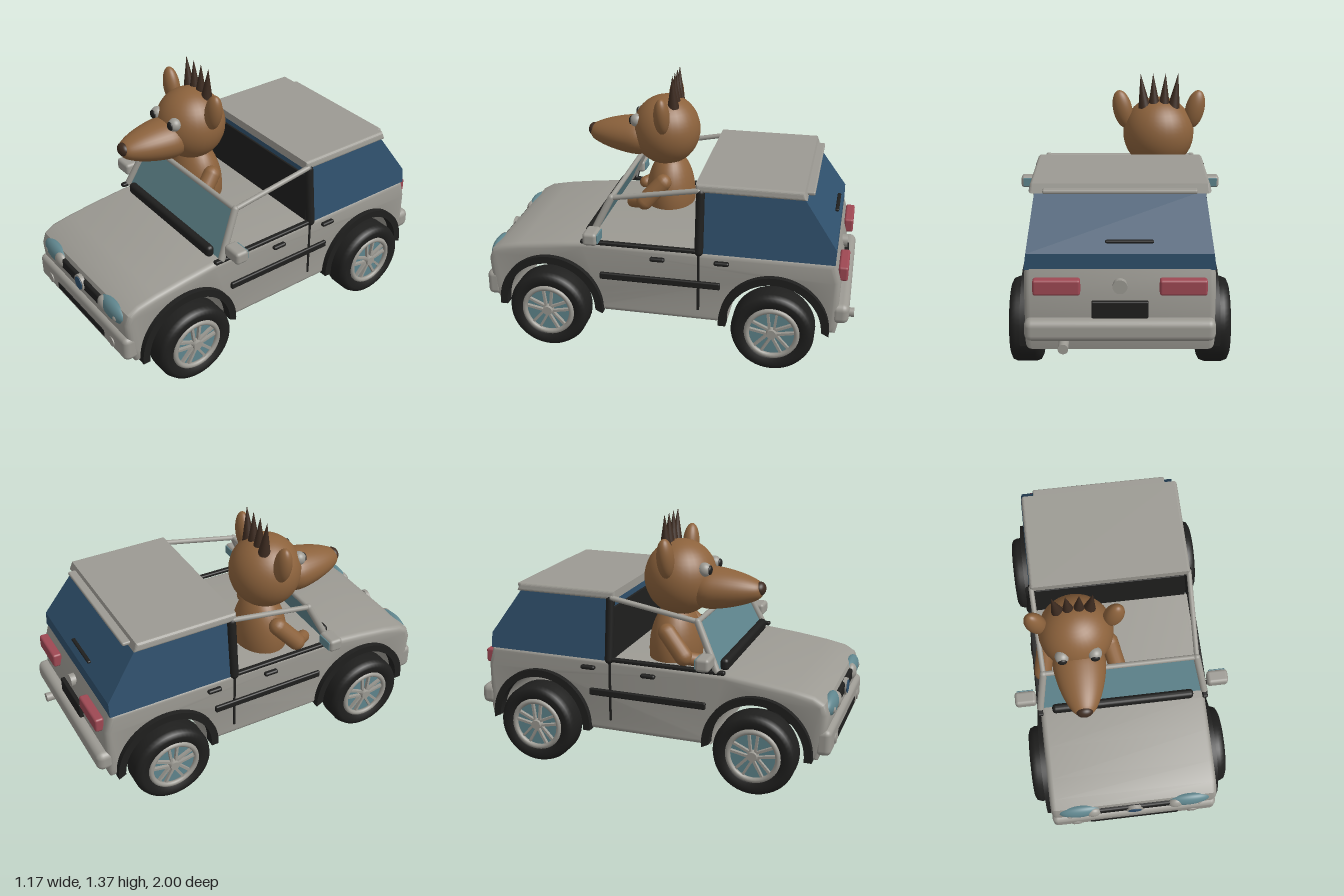
import * as THREE from 'three';
import { toCreasedNormals } from 'three/addons/utils/BufferGeometryUtils.js';
import { RoundedBoxGeometry } from 'three/addons/geometries/RoundedBoxGeometry.js';

const mat = (name, color, extra = {}) => {
  const m = new THREE.MeshStandardMaterial({ color, ...extra });
  m.name = name;
  return m;
};
const paint = mat('warm grey paint', 0x9c9a93);
const black = mat('black rubber', 0x1f1f1e);
const darkGlass = mat('dark blue glass', 0x2f506c);
const glass = mat('teal glass', 0x5f858d, { side: THREE.DoubleSide });
const fur = mat('brown fur', 0x8c623c);
const darkFur = mat('dark brown', 0x3d2b20);
const red = mat('red lens', 0x9e4853);

export function createModel() {
  const car = new THREE.Group();
  car.name = 'convertibleWithDriver';

  const add = (name, geo, material, x = 0, y = 0, z = 0, parent = car) => {
    const m = new THREE.Mesh(geo, material);
    m.name = name;
    m.position.set(x, y, z);
    parent.add(m);
    return m;
  };
  const box = (name, material, w, h, d, x, y, z, r = 0.01) =>
    add(name, new RoundedBoxGeometry(w, h, d, 3, r), material, x, y, z);
  const ball = (name, material, rx, ry, rz, x, y, z, parent) => {
    const m = add(name, new THREE.SphereGeometry(1, 32, 24), material, x, y, z, parent);
    m.scale.set(rx, ry, rz);
    return m;
  };
  // Round-ended rod between two points
  const rod = (name, material, a, b, r, parent) => {
    const p = new THREE.Vector3(...a), q = new THREE.Vector3(...b);
    const d = q.clone().sub(p), c = p.clone().add(q).multiplyScalar(0.5);
    const m = add(name, new THREE.CapsuleGeometry(r, d.length(), 6, 16), material, c.x, c.y, c.z, parent);
    m.quaternion.setFromUnitVectors(new THREE.Vector3(0, 1, 0), d.normalize());
    return m;
  };
  // Side profile (z, y) extruded across the car from x0 to x1
  const slab = (shape, x0, x1, bevel = 0) => {
    const g = new THREE.ExtrudeGeometry(shape, {
      depth: x1 - x0 - 2 * bevel, curveSegments: 32, bevelEnabled: bevel > 0,
      bevelSize: bevel, bevelThickness: bevel, bevelOffset: -bevel, bevelSegments: 4,
    });
    g.rotateY(-Math.PI / 2).translate(x1 - bevel, 0, 0);
    return toCreasedNormals(g, 0.6);
  };
  const disc = (name, material, r, depth, x, y, z) =>
    add(name, new THREE.CylinderGeometry(r, r, depth, 32).rotateX(Math.PI / 2), material, x, y, z);

  // Body shell with wheel tunnels
  const axles = [-0.59, 0.62];
  const body = new THREE.Shape();
  body.moveTo(-0.91, 0.2);
  for (const z of axles) {
    body.lineTo(z - 0.25, 0.2);
    body.absarc(z, 0.22, 0.25, Math.PI, 0, true);
    body.lineTo(z + 0.25, 0.2);
  }
  for (const [z, y] of [[0.93, 0.2], [0.965, 0.3], [0.975, 0.45], [0.955, 0.505], [0.9, 0.538],
    [0.79, 0.56], [0.62, 0.583], [0.44, 0.602], [-0.89, 0.605], [-0.92, 0.5], [-0.92, 0.25]]) body.lineTo(z, y);
  add('body', slab(body, -0.457, 0.457, 0.03), paint);

  // Rear cabin, tapering towards the roof
  const taper = (g) => {
    const p = g.attributes.position;
    for (let i = 0; i < p.count; i++) p.setX(i, p.getX(i) * (1 - 0.1 * (p.getY(i) - 0.6) / 0.34));
    g.computeVertexNormals();
    return g;
  };
  const cabin = new THREE.Shape([[-0.19, 0.6], [-0.19, 0.94], [-0.71, 0.94], [-0.89, 0.68], [-0.89, 0.6]]
    .map(([z, y]) => new THREE.Vector2(z, y)));
  add('rearCabinGlass', taper(slab(cabin, -0.457, 0.457)), darkGlass);
  box('bulkhead', black, 0.86, 0.28, 0.012, 0, 0.74, -0.185, 0.004);
  const roof = new THREE.Shape([[-0.165, 0.93], [-0.165, 0.975], [-0.715, 0.975], [-0.73, 0.93]]
    .map(([z, y]) => new THREE.Vector2(z, y)));
  add('roof', taper(slab(roof, -0.487, 0.487, 0.015)), paint);
  box('roofSpoiler', paint, 0.74, 0.02, 0.07, 0, 0.945, -0.728, 0.008);
  box('rearWiper', black, 0.23, 0.014, 0.02, -0.045, 0.735, -0.868, 0.006);

  // Windscreen and its frame
  const screen = new THREE.BufferGeometry();
  screen.setAttribute('position', new THREE.Float32BufferAttribute(
    [-0.45, 0.6, 0.4, 0.45, 0.6, 0.4, 0.405, 0.85, 0.285, -0.405, 0.85, 0.285], 3));
  screen.setIndex([0, 1, 2, 0, 2, 3]);
  screen.computeVertexNormals();
  add('windscreen', screen, glass);
  rod('windscreenHeader', paint, [-0.41, 0.853, 0.283], [0.41, 0.853, 0.283], 0.014);
  box('cowl', black, 0.78, 0.065, 0.045, 0, 0.627, 0.418, 0.02);

  // Front end
  box('frontBumper', paint, 0.915, 0.14, 0.085, 0, 0.3, 0.952, 0.03);
  box('lowerGrille', black, 0.5, 0.046, 0.02, 0, 0.282, 0.988, 0.009);
  box('upperGrille', black, 0.42, 0.064, 0.03, 0, 0.45, 0.968, 0.012);
  disc('badgeRim', paint, 0.046, 0.02, 0, 0.45, 0.98);
  disc('badgeCentre', darkGlass, 0.036, 0.008, 0, 0.45, 0.99);

  // Rear end
  box('rearBumper', paint, 0.915, 0.11, 0.095, 0, 0.315, -0.927, 0.035);
  box('rearPlate', black, 0.27, 0.085, 0.025, 0, 0.415, -0.93, 0.006);
  disc('rearBadge', paint, 0.035, 0.03, 0, 0.53, -0.92);
  disc('exhaust', paint, 0.025, 0.16, 0.27, 0.24, -0.92);

  // Wheel pieces, built facing +x
  const tyreProfile = [[0.142, -0.06], [0.15, -0.075], [0.185, -0.08], [0.207, -0.07], [0.217, -0.045], [0.217, 0.045],
    [0.207, 0.07], [0.185, 0.08], [0.15, 0.075], [0.142, 0.06]].map(([r, h]) => new THREE.Vector2(r, h));
  const tyreGeo = new THREE.LatheGeometry(tyreProfile, 48).rotateZ(-Math.PI / 2);
  const discGeo = new THREE.CylinderGeometry(0.145, 0.145, 0.11, 40).rotateZ(-Math.PI / 2);
  const rimGeo = new THREE.TorusGeometry(0.131, 0.014, 10, 40).rotateY(Math.PI / 2);
  const hubGeo = new THREE.CylinderGeometry(0.025, 0.03, 0.03, 20).rotateZ(-Math.PI / 2);
  const spokeGeo = new THREE.BoxGeometry(0.018, 0.115, 0.013);
  const makeWheel = (side, z) => {
    const w = new THREE.Group();
    w.name = 'wheel';
    w.position.set(side * 0.47, 0.217, z);
    if (side < 0) w.rotation.y = Math.PI;
    add('tyre', tyreGeo, black, 0, 0, 0, w);
    add('wheelDisc', discGeo, glass, -0.008, 0, 0, w);
    add('rim', rimGeo, paint, 0.066, 0, 0, w);
    add('hub', hubGeo, paint, 0.067, 0, 0, w);
    for (let i = 0; i < 5; i++) {
      const pair = new THREE.Group();
      pair.name = 'spokePair';
      pair.rotation.x = i * Math.PI * 2 / 5;
      w.add(pair);
      for (const s of [-1, 1]) add('spoke', spokeGeo, paint, 0.06, 0.07, s * 0.018, pair).rotation.x = s * 0.12;
    }
    car.add(w);
  };
  const archShape = (z) => {
    const s = new THREE.Shape();
    s.moveTo(z - 0.25, 0.2);
    s.absarc(z, 0.22, 0.25, Math.PI, 0, true);
    s.lineTo(z + 0.25, 0.2);
    s.lineTo(z + 0.29, 0.2);
    s.absarc(z, 0.22, 0.29, 0, Math.PI, false);
    s.lineTo(z - 0.29, 0.2);
    return s;
  };

  // Everything that repeats on both sides
  for (const s of [-1, 1]) {
    for (const z of axles) {
      makeWheel(s, z);
      add('archTrim', slab(archShape(z), s > 0 ? 0.43 : -0.487, s > 0 ? 0.487 : -0.43), black);
    }
    rod('windscreenPillar', paint, [s * 0.455, 0.615, 0.4], [s * 0.412, 0.853, 0.283], 0.019);
    rod('roofRail', paint, [s * 0.412, 0.853, 0.283], [s * 0.43, 0.938, -0.18], 0.014);
    rod('centrePillar', black, [s * 0.458, 0.61, -0.19], [s * 0.425, 0.925, -0.19], 0.023);
    box('beltTrim', black, 0.03, 0.022, 0.62, s * 0.457, 0.61, 0.135, 0.008);
    box('doorSeam', black, 0.012, 0.34, 0.014, s * 0.456, 0.435, -0.188, 0.004);
    box('sideMoulding', black, 0.03, 0.038, 0.65, s * 0.458, 0.42, 0.02, 0.008);
    box('doorHandle', black, 0.03, 0.022, 0.08, s * 0.465, 0.545, 0.03, 0.01);
    box('rearHandle', black, 0.03, 0.022, 0.08, s * 0.465, 0.555, -0.31, 0.01);
    box('mirror', paint, 0.115, 0.07, 0.075, s * 0.527, 0.68, 0.36, 0.018);
    box('mirrorGlass', glass, 0.09, 0.05, 0.008, s * 0.527, 0.68, 0.321, 0.003);
    rod('mirrorArm', black, [s * 0.45, 0.62, 0.37], [s * 0.49, 0.655, 0.365], 0.012);
    ball('headlight', glass, 0.12, 0.056, 0.04, s * 0.3, 0.46, 0.955);
    ball('mainLamp', paint, 0.045, 0.045, 0.03, s * 0.228, 0.455, 0.97);
    ball('sideLamp', paint, 0.02, 0.022, 0.02, s * 0.355, 0.452, 0.975);
    disc('fogLamp', paint, 0.027, 0.02, s * 0.325, 0.284, 0.99);
    box('tailLight', red, 0.225, 0.078, 0.05, s * 0.3, 0.532, -0.93, 0.012);
  }

  // Driver
  const driver = new THREE.Group();
  driver.name = 'driver';
  driver.position.x = -0.215;
  car.add(driver);
  ball('torso', fur, 0.175, 0.26, 0.14, 0, 0.64, 0.1, driver);
  ball('head', fur, 0.197, 0.2, 0.192, 0, 1.03, 0.125, driver);
  const snoutCurve = new THREE.SplineCurve([[0.1, 0.18], [0.137, 0.27], [0.13, 0.36], [0.102, 0.46], [0.066, 0.535],
    [0.035, 0.565], [0, 0.575]].map(([r, z]) => new THREE.Vector2(r, z)));
  const snout = new THREE.LatheGeometry(snoutCurve.getPoints(24).map((p) => new THREE.Vector2(Math.max(p.x, 0), p.y)), 36);
  snout.rotateX(Math.PI / 2).scale(1, 0.8, 1);
  add('snout', snout, fur, 0, 0.98, 0, driver).rotation.x = -0.02;
  ball('nose', darkFur, 0.044, 0.037, 0.03, 0, 1.0, 0.553, driver);
  for (const s of [-1, 1]) {
    ball('eye', paint, 0.037, 0.037, 0.037, s * 0.084, 1.097, 0.28, driver);
    ball('pupil', black, 0.024, 0.024, 0.012, s * 0.084, 1.097, 0.31, driver);
    ball('ear', fur, 0.053, 0.108, 0.044, s * 0.2, 1.165, 0.11, driver).rotation.z = -s * 0.22;
    rod('upperArm', fur, [s * 0.175, 0.77, 0.11], [s * 0.205, 0.66, 0.21], 0.048, driver);
    rod('forearm', fur, [s * 0.205, 0.655, 0.21], [s * 0.15, 0.63, 0.29], 0.035, driver);
  }
  // Spiky hair
  for (let i = 0; i < 4; i++) {
    const t = i - 1.5;
    const spike = add('hairSpike', new THREE.ConeGeometry(0.034, 0.19, 20), darkFur, t * 0.061, 1.277, 0.07, driver);
    spike.rotation.z = -t * 0.08;
  }
  return car;
}
